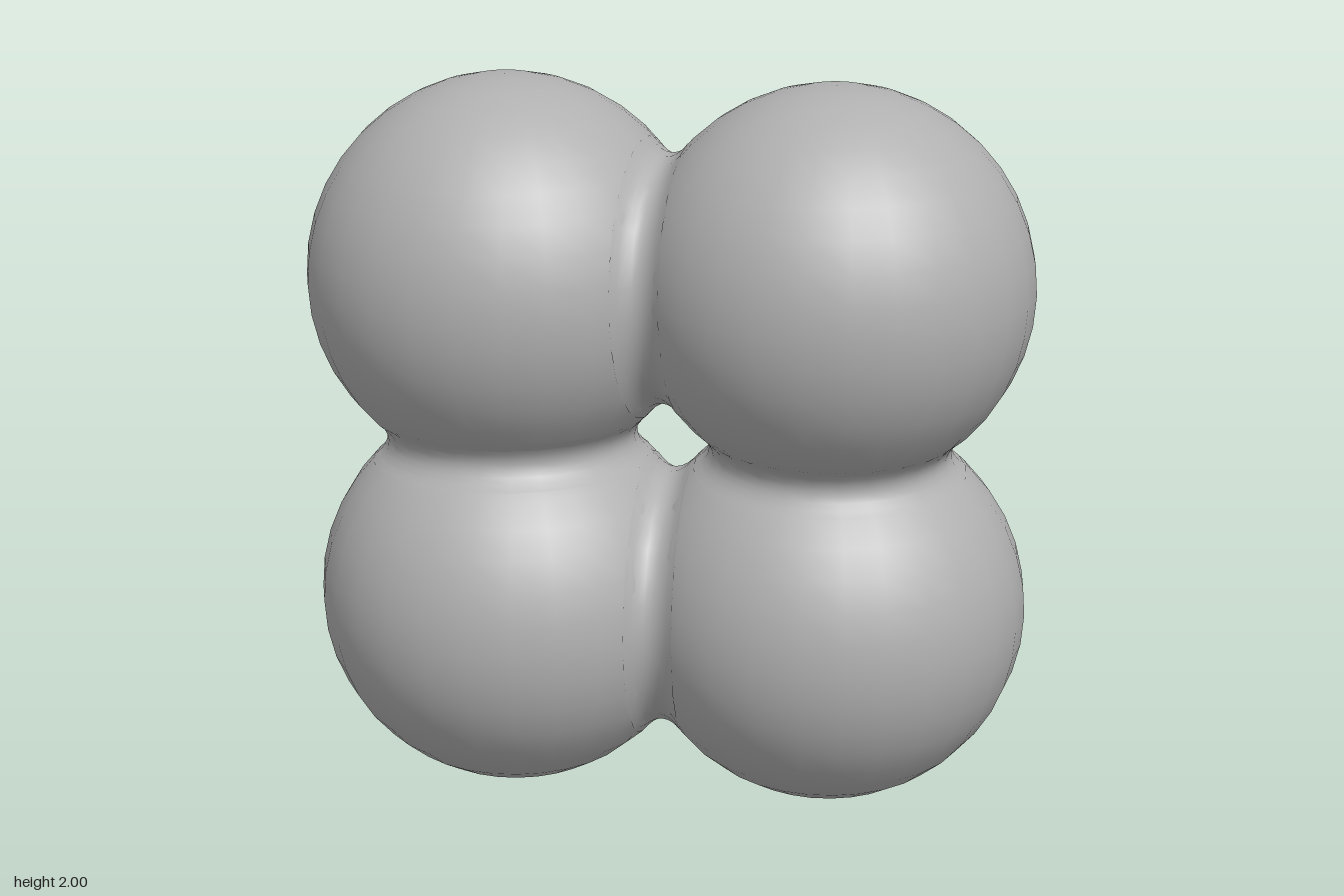
import * as THREE from 'three';

export function createModel() {
  const group = new THREE.Group();
  group.name = 'sphereCluster';
  const grey = new THREE.MeshStandardMaterial({ color: 0xb0b0b0 });
  grey.name = 'grey';

  const balls = {
    upperRight: { at: new THREE.Vector3(-0.45, 1.44, -0.02), r: 0.546 },
    upperLeft: { at: new THREE.Vector3(0.45, 1.464, 0.03), r: 0.536 },
    lowerRight: { at: new THREE.Vector3(-0.43, 0.545, 0.02), r: 0.543 },
    lowerLeft: { at: new THREE.Vector3(0.445, 0.55, -0.01), r: 0.542 },
  };

  // four slightly uneven balls
  for (const [name, { at, r }] of Object.entries(balls)) {
    const mesh = new THREE.Mesh(new THREE.SphereGeometry(r, 28, 20), grey);
    mesh.name = name + 'Ball';
    mesh.position.copy(at);
    group.add(mesh);
  }

  // soft concave collar that blends two touching balls
  function addNeck(name, a, b) {
    const axis = b.at.clone().sub(a.at);
    const d = axis.length();
    axis.normalize();
    // distance from a to the plane where the balls cross
    const h = (d * d + a.r * a.r - b.r * b.r) / (2 * d);
    const w = 0.065;
    const ra = Math.sqrt(a.r ** 2 - (h - w) ** 2);
    const rb = Math.sqrt(b.r ** 2 - (d - h - w) ** 2);
    const mid = (ra + rb) / 2 - 0.042;
    const points = [];
    for (let i = -4; i <= 4; i++) {
      const t = i / 4;
      const end = t < 0 ? ra : rb;
      points.push(new THREE.Vector2(mid + (end - mid) * t * t, w * t));
    }
    const neck = new THREE.Mesh(new THREE.LatheGeometry(points, 28), grey);
    neck.name = name;
    neck.position.copy(a.at).addScaledVector(axis, h);
    neck.quaternion.setFromUnitVectors(new THREE.Vector3(0, 1, 0), axis);
    group.add(neck);
  }

  addNeck('upperNeck', balls.upperRight, balls.upperLeft);
  addNeck('lowerNeck', balls.lowerRight, balls.lowerLeft);
  addNeck('rightNeck', balls.lowerRight, balls.upperRight);
  addNeck('leftNeck', balls.lowerLeft, balls.upperLeft);

  return group;
}
